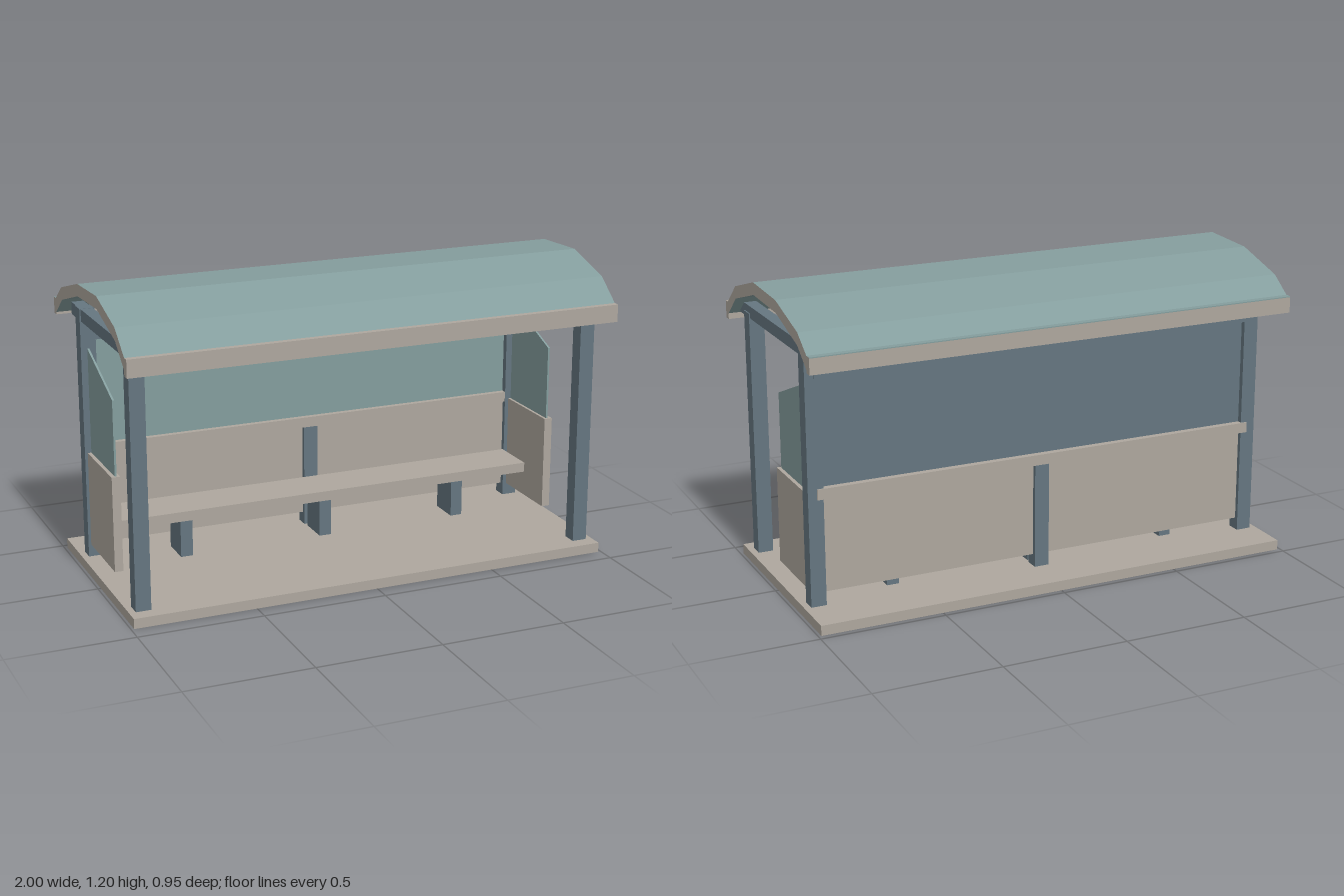
import * as THREE from 'three';

const material = (name, color) => {
  const m = new THREE.MeshStandardMaterial({ color });
  m.name = name;
  return m;
};

export function createModel() {
  const stone = material('warm stone', 0xaea79e);
  const teal = material('muted teal', 0x849d9d);
  const slate = material('slate blue', 0x657680);
  const model = new THREE.Group();
  model.name = 'busShelter';

  const add = (name, geometry, mat) => {
    const mesh = new THREE.Mesh(geometry, mat);
    mesh.name = name;
    model.add(mesh);
    return mesh;
  };

  // Box given by its limits on each axis
  const block = (name, mat, [x0, x1], [y0, y1], [z0, z1]) => {
    const g = new THREE.BoxGeometry(x1 - x0, y1 - y0, z1 - z0);
    g.translate((x0 + x1) / 2, (y0 + y1) / 2, (z0 + z1) / 2);
    return add(name, g, mat);
  };

  // Profile of [z, y] points extruded along x, centred on x
  const profile = (points, width, x = 0) => {
    const shape = new THREE.Shape(points.map(([z, y]) => new THREE.Vector2(z, y)));
    const g = new THREE.ExtrudeGeometry(shape, { depth: width, bevelEnabled: false });
    g.translate(0, 0, -width / 2);
    g.rotateY(-Math.PI / 2);
    g.translate(x, 0, 0);
    return g;
  };

  // Floor: thin deck with a skirt, open underneath
  block('floorDeck', stone, [-0.988, 0.988], [0.036, 0.04], [-0.475, 0.425]);
  block('floorFrontSkirt', stone, [-0.988, 0.988], [0, 0.037], [0.421, 0.425]);
  block('floorBackSkirt', stone, [-0.988, 0.988], [0, 0.037], [-0.475, -0.471]);

  // Faceted curved roof with stone end faces, lapping over the back fascia
  const roof = [
    [0.45, 1.05], [0.345, 1.135], [0.125, 1.2], [-0.125, 1.19], [-0.355, 1.125], [-0.443, 1.062],
    [-0.47, 1.062], [-0.47, 1.058], [-0.443, 1.058],
    [-0.443, 1.005], [-0.35, 1.076], [-0.125, 1.142], [0.125, 1.151], [0.345, 1.086], [0.45, 1.0],
  ];
  add('roof', profile(roof, 2), [stone, teal]);
  block('frontFascia', stone, [-1, 1], [0.98, 1.05], [0.446, 0.475]);
  block('backFascia', stone, [-1, 1], [0.996, 1.058], [-0.47, -0.442]);

  // Posts, roof beams, side screens and skirts, mirrored left and right
  for (const [side, s] of [['left', 1], ['right', -1]]) {
    const across = (a, b) => (s > 0 ? [a, b] : [-b, -a]);
    block(side + 'FloorSkirt', stone, across(0.984, 0.988), [0, 0.037], [-0.471, 0.421]);
    block(side + 'FrontPost', slate, across(0.901, 0.962), [0.034, 1.03], [0.308, 0.367]);
    block(side + 'BackPost', slate, across(0.901, 0.962), [0.034, 1.06], [-0.303, -0.245]);
    block(side + 'RoofBeam', slate, across(0.908, 0.957), [1.01, 1.059], [-0.373, 0.425]);
    block(side + 'LowerScreen', stone, across(0.917, 0.951), [0.09, 0.475], [-0.25, 0.075]);
    const pane = [[0.065, 0.47], [0.065, 0.777], [-0.25, 0.901], [-0.25, 0.47]];
    add(side + 'UpperScreen', profile(pane, 0.008, s * 0.932), teal);
  }

  // Back wall: teal inside, slate outside, with rails and a middle post
  block('backUpperPanel', teal, [-0.91, 0.91], [0.48, 0.96], [-0.276, -0.27]);
  block('backUpperCladding', slate, [-0.91, 0.91], [0.48, 0.96], [-0.282, -0.276]);
  block('backLowerPanel', stone, [-0.91, 0.91], [0.088, 0.48], [-0.286, -0.264]);
  block('backTopRail', slate, [-0.926, 0.926], [0.93, 1.0], [-0.308, -0.255]);
  block('backMiddleRail', stone, [-0.926, 0.926], [0.463, 0.505], [-0.308, -0.247]);
  block('backMiddlePost', slate, [-0.03, 0.03], [0.034, 0.465], [-0.303, -0.247]);

  // Bench
  block('benchSeat', stone, [-0.89, 0.89], [0.212, 0.252], [-0.235, -0.038]);
  for (const x of [-0.6, 0, 0.6]) {
    block('benchLeg', slate, [x - 0.025, x + 0.025], [0.034, 0.213], [-0.225, -0.095]);
  }

  return model;
}
